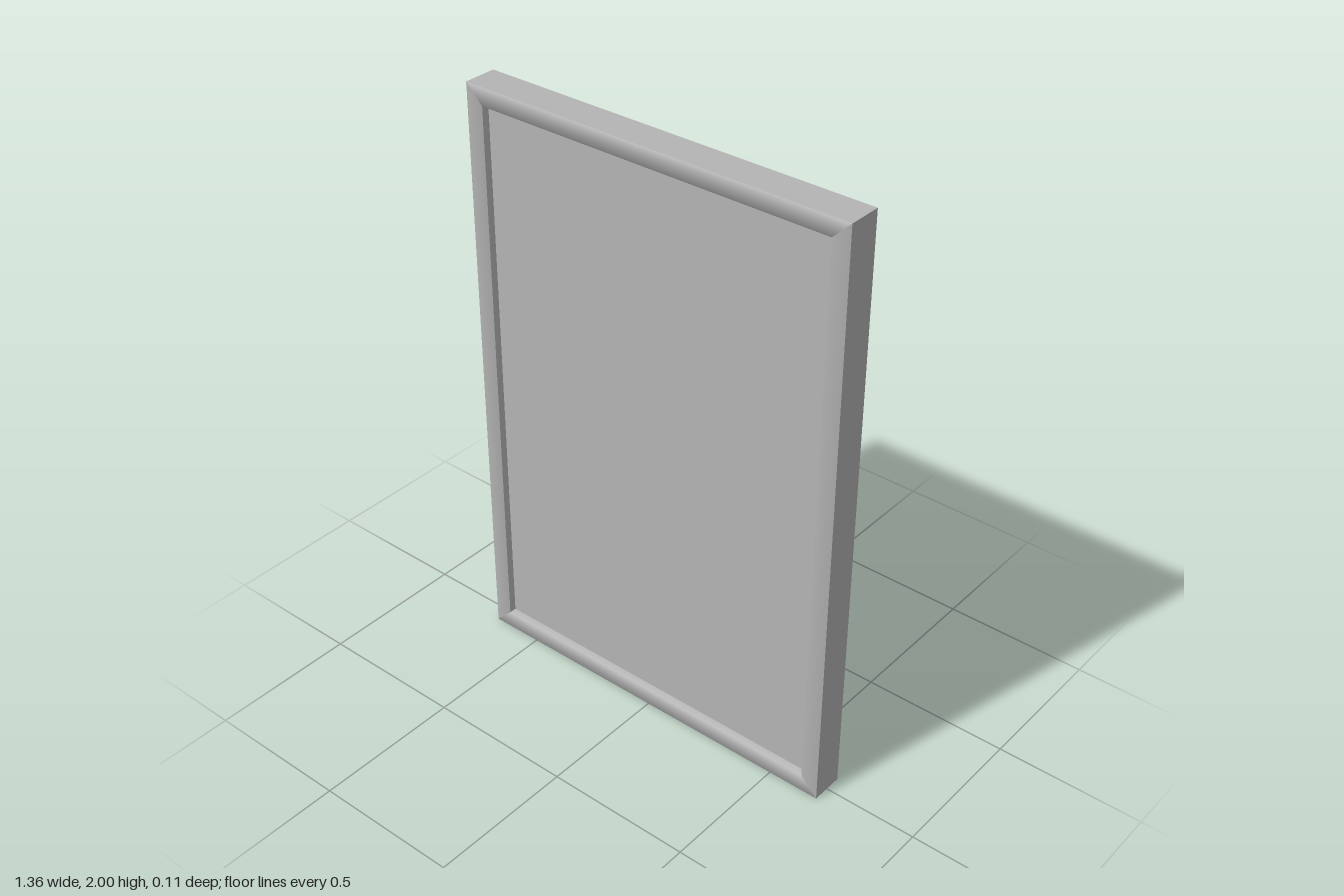
import * as THREE from 'three';

const W = 0.68, H = 2, D = 0.056, RIM = 0.06;

// Four mitred bars; outer walls are flat, front and back rims are softly shaded.
function frameBar(i) {
  const corners = [[-1, 0], [1, 0], [1, 1], [-1, 1]];
  const out = [[0, -1], [1, 0], [0, 1], [-1, 0]][i];
  const point = (k, inset, z) => {
    const [sx, sy] = corners[k % 4];
    return [sx * (W - inset), sy ? H - inset : inset, z];
  };
  const normal = (n, z) => new THREE.Vector3(out[0] * n, out[1] * n, z).normalize().toArray();
  // Each strip runs between two edges: [inset, z, normal outward, normal z]
  const strips = [
    [[0, -D, 1, 0], [0, D, 1, 0]],
    [[0, D, 0.5, 1], [RIM, D, -0.6, 1]],
    [[RIM, D, -1, 0.3], [RIM, -D, -1, -0.3]],
    [[RIM, -D, -0.6, -1], [0, -D, 0.5, -1]],
  ];
  const pos = [], nor = [], index = [];
  for (const [p, q] of strips) {
    const base = pos.length / 3;
    for (const [e, k] of [[p, i], [p, i + 1], [q, i + 1], [q, i]]) {
      pos.push(...point(k, e[0], e[1]));
      nor.push(...normal(e[2], e[3]));
    }
    index.push(base, base + 1, base + 2, base, base + 2, base + 3);
  }
  const g = new THREE.BufferGeometry();
  g.setAttribute('position', new THREE.Float32BufferAttribute(pos, 3));
  g.setAttribute('normal', new THREE.Float32BufferAttribute(nor, 3));
  g.setIndex(index);
  return g;
}

export function createModel() {
  const model = new THREE.Group();
  model.name = 'framedPanel';
  const grey = new THREE.MeshStandardMaterial({ color: 0xb4b4b4 });
  grey.name = 'grey';

  // Surrounding frame
  const frame = new THREE.Group();
  frame.name = 'frame';
  ['bottomBar', 'leftBar', 'topBar', 'rightBar'].forEach((name, i) => {
    const bar = new THREE.Mesh(frameBar(i), grey);
    bar.name = name;
    frame.add(bar);
  });
  model.add(frame);

  // Panel: recessed at the front, almost flush at the back
  const front = D - 0.025, back = -D + 0.003;
  const panel = new THREE.Mesh(
    new THREE.BoxGeometry(2 * (W - RIM), H - 2 * RIM, front - back), grey);
  panel.name = 'panel';
  panel.position.set(0, H / 2, (front + back) / 2);
  model.add(panel);

  return model;
}
